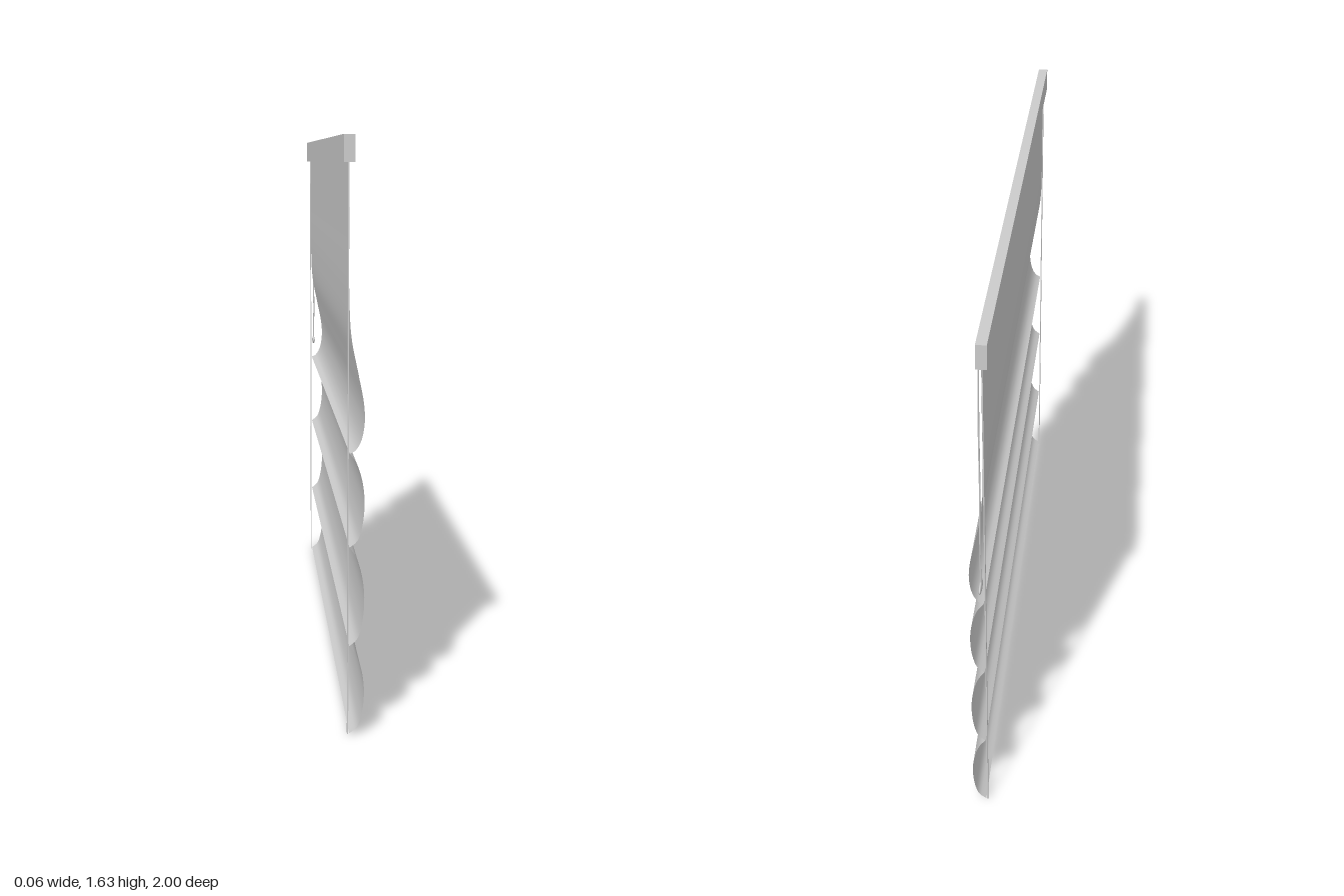
import * as THREE from 'three';

const FRONT = 1, BACK = -0.963; // ends of the blind along z
const RAIL_X = -0.015;          // plane of the hanging fabric

const material = new THREE.MeshStandardMaterial({ color: 0xcccccc, side: THREE.DoubleSide });

function addMesh(parent, name, geometry, x = 0, y = 0, z = 0) {
  const mesh = new THREE.Mesh(geometry, material);
  mesh.name = name;
  mesh.position.set(x, y, z);
  parent.add(mesh);
  return mesh;
}

// Sheet swept along z from a smooth profile of [x, y] points, top to bottom
function sheet(points, rows) {
  const curve = new THREE.CatmullRomCurve3(points.map(([x, y]) => new THREE.Vector3(x, y, 0)), false, 'centripetal');
  const profile = curve.getSpacedPoints(rows);
  const geometry = new THREE.PlaneGeometry(1, 1, 1, rows);
  const pos = geometry.attributes.position;
  for (let i = 0; i < pos.count; i++) {
    const p = profile[Math.floor(i / 2)];
    pos.setXYZ(i, p.x, p.y, i % 2 ? BACK : FRONT);
  }
  geometry.computeVertexNormals();
  return geometry;
}

export function createModel() {
  const blind = new THREE.Group();
  blind.name = 'romanBlind';

  // Head rail
  const length = FRONT - BACK, middle = (FRONT + BACK) / 2;
  addMesh(blind, 'headRail', new THREE.BoxGeometry(0.03, 0.072, length), -0.015, 1.591, middle);

  // Flat upper fabric flowing into the first fold
  const fabric = new THREE.Group();
  fabric.name = 'fabric';
  blind.add(fabric);
  addMesh(fabric, 'upperPanel', sheet([
    [RAIL_X, 1.57], [RAIL_X, 1.4], [RAIL_X, 1.22], [-0.009, 1.1], [0.01, 1.0],
    [0.025, 0.92], [0.027, 0.87], [0.018, 0.82], [0.002, 0.793], [-0.013, 0.786],
  ], 48));

  // Lower folds, each bulging to the room side and tucked in at the bottom
  const folds = [0.786, 0.528, 0.252, 0.003];
  for (let i = 0; i < 3; i++) {
    const top = folds[i], h = top - folds[i + 1];
    const shape = [[-0.013, 0], [0.004, 0.09], [0.018, 0.24], [0.026, 0.42],
      [0.027, 0.58], [0.021, 0.78], [0.008, 0.93], [-0.013, 1]];
    addMesh(fabric, 'fold' + (i + 1), sheet(shape.map(([x, t]) => [x, top - t * h]), 28));
  }

  // Lift tapes hanging straight behind the folds at both ends
  for (const z of [FRONT - 0.008, BACK + 0.008]) {
    addMesh(blind, 'liftTape', new THREE.BoxGeometry(0.003, 1.56, 0.014), RAIL_X - 0.002, 0.78, z);
  }

  // Pull cord, two slightly slack strands
  for (const side of [-1, 1]) {
    const path = new THREE.CatmullRomCurve3([
      [-0.007, 1.56, -0.956 + side * 0.002],
      [-0.005, 1.38, -0.955 + side * 0.003],
      [-0.006, 1.15, -0.957 + side * 0.003],
      [-0.005, 0.98, -0.96 + side * 0.003],
      [-0.006, 0.85, -0.965],
    ].map((p) => new THREE.Vector3(...p)));
    addMesh(blind, 'pullCord', new THREE.TubeGeometry(path, 24, 0.002, 6), 0, 0, 0);
  }

  // Small flat cleat holding the cord
  const cleat = addMesh(blind, 'cordCleat', new THREE.SphereGeometry(1, 20, 12), -0.006, 0.853, -0.968);
  cleat.scale.set(0.005, 0.014, 0.032);

  return blind;
}
